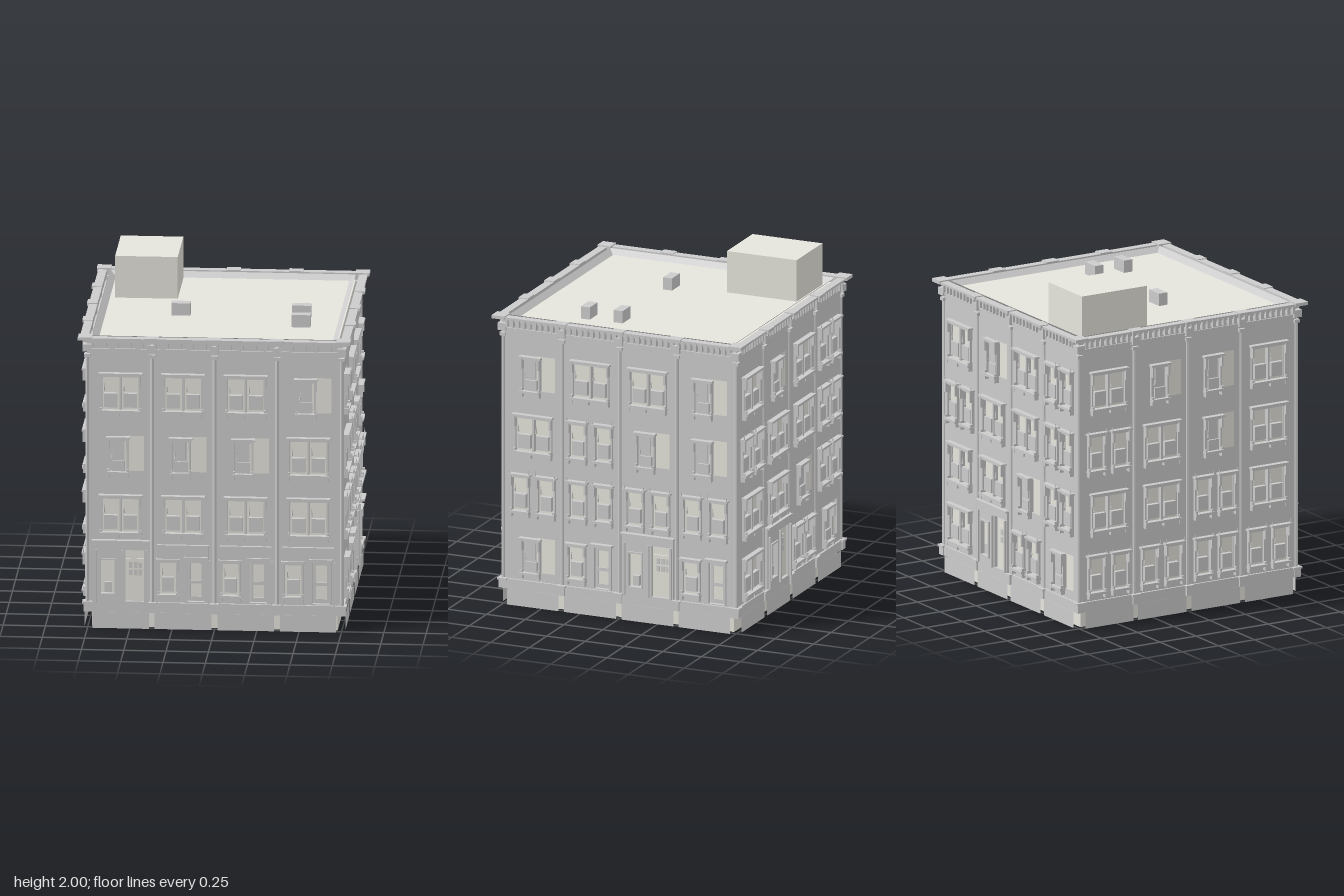
import * as THREE from 'three';

const stone = new THREE.MeshStandardMaterial({ color: 0xcccccc, flatShading: true, side: THREE.DoubleSide });
const pale = new THREE.MeshStandardMaterial({ color: 0xe6e4dc, flatShading: true, side: THREE.DoubleSide });

const WALL = 0.755;                        // distance of wall planes from the centre
const COLS = [-0.555, -0.185, 0.185, 0.555]; // bay centres
const ROWS = [1.335, 0.96, 0.59, 0.215];     // opening bottoms, top storey first
const PIERS = [-0.37, 0, 0.37];

function add(parent, name, geometry, material = stone) {
  const mesh = new THREE.Mesh(geometry, material);
  mesh.name = name;
  parent.add(mesh);
  return mesh;
}

// Box given by its limits
function box(parent, name, x0, x1, y0, y1, z0, z1, material) {
  const mesh = add(parent, name, new THREE.BoxGeometry(x1 - x0, y1 - y0, z1 - z0), material);
  mesh.position.set((x0 + x1) / 2, (y0 + y1) / 2, (z0 + z1) / 2);
  return mesh;
}

function rectPath(Type, x0, x1, y0, y1) {
  return new Type([[x0, y0], [x1, y0], [x1, y1], [x0, y1]].map(p => new THREE.Vector2(...p)));
}

// Square ring around the building
function ring(parent, name, inner, outer, y0, y1) {
  const shape = rectPath(THREE.Shape, -outer, outer, -outer, outer);
  shape.holes.push(rectPath(THREE.Path, -inner, inner, -inner, inner));
  const mesh = add(parent, name, new THREE.ExtrudeGeometry(shape, { depth: y1 - y0, bevelEnabled: false }));
  mesh.rotation.x = -Math.PI / 2;
  mesh.position.y = y0;
}

// Flat frame with one or more openings
function frame(parent, name, outer, holes, z0, z1) {
  const shape = rectPath(THREE.Shape, ...outer);
  holes.forEach(h => shape.holes.push(rectPath(THREE.Path, ...h)));
  add(parent, name, new THREE.ExtrudeGeometry(shape, { depth: z1 - z0, bevelEnabled: false })).position.z = z0;
}

// Surround shared by all windows: hood, brackets, jambs, sill
function surround(g, x, y, half, height) {
  const top = y + height;
  box(g, 'windowHood', x - half - 0.015, x + half + 0.015, top, top + 0.012, 0, 0.035);
  box(g, 'windowHoodStep', x - half - 0.005, x + half + 0.005, top - 0.012, top, 0, 0.022);
  for (const s of [-1, 1]) {
    const e = x + s * half;
    box(g, 'hoodBracket', e - 0.006, e + 0.006, top - 0.065, top, 0, 0.03);
    box(g, 'windowJamb', e - 0.005, e + 0.005, y, top, -0.01, 0.015);
    box(g, 'sillBracket', e - 0.006, e + 0.006, y - 0.04, y + 0.015, 0, 0.028);
  }
  box(g, 'windowSill', x - half - 0.008, x + half + 0.008, y - 0.015, y, 0, 0.035);
}

function sash(g, x, y, half) {
  box(g, 'lowerSash', x - half, x + half, y + 0.015, y + 0.1, -0.015, 0.012);
  const spike = add(g, 'sashOrnament', new THREE.ConeGeometry(0.007, 0.05, 4));
  spike.position.set(x - half, y + 0.14, 0.005);
}

function door(g, x0, x1, y0, y1) {
  frame(g, 'doorFrame', [x0 - 0.01, x1 + 0.01, y0, y1 + 0.012], [[x0, x1, y0 + 0.005, y1]], -0.01, 0.012);
  frame(g, 'doorLeaf', [x0, x1, y0 + 0.005, y1],
    [[x0 + 0.018, x1 - 0.018, y0 + 0.03, y0 + 0.11], [x0 + 0.018, x1 - 0.018, y0 + 0.13, y1 - 0.02]], -0.02, -0.012);
  box(g, 'doorPanel', x0, x1, y0 + 0.005, y1, -0.025, -0.021, pale);
}

function panedDoor(g, x0, x1, y0, y1) {
  box(g, 'panedDoor', x0, x1, y0 + 0.005, y1, -0.02, -0.012, pale);
  for (let i = 0; i < 3; i++) for (let j = 0; j < 2; j++) {
    const px = x0 + 0.02 + i * 0.028, py = y1 - 0.1 + j * 0.045;
    box(g, 'doorPane', px, px + 0.02, py, py + 0.035, -0.014, -0.008);
  }
}

// Every bay builds its parts and returns its wall openings
const BAYS = {
  D(g, x, y) { // double window
    surround(g, x, y, 0.115, 0.215);
    box(g, 'mullion', x - 0.006, x + 0.006, y, y + 0.215, -0.02, 0.012);
    for (const s of [-1, 1]) {
      sash(g, x + s * 0.058, y, 0.039);
      box(g, 'sillPanel', x + s * 0.058 - 0.05, x + s * 0.058 + 0.05, y - 0.04, y - 0.017, 0, 0.025);
    }
    return [[x - 0.105, x + 0.105, y, y + 0.215]];
  },
  S(g, x, y) { // single window beside a pale opening
    surround(g, x - 0.015, y, 0.055, 0.2);
    sash(g, x - 0.012, y - 0.035, 0.036);
    box(g, 'upperSash', x - 0.045, x + 0.015, y + 0.08, y + 0.185, 0, 0.008);
    return [[x + 0.022, x + 0.137, y, y + 0.215]];
  },
  P(g, x, y) { // pair of narrow windows
    const holes = [];
    for (const s of [-1, 1]) {
      const c = x + s * 0.083;
      surround(g, c, y, 0.055, 0.215);
      sash(g, c, y, 0.035);
      for (const e of [-1, 1]) {
        const finial = add(g, 'hoodFinial', new THREE.ConeGeometry(0.006, 0.035, 4));
        finial.position.set(c + e * 0.062, y + 0.24, 0.025);
      }
      holes.push([c - 0.048, c + 0.048, y, y + 0.205]);
    }
    return holes;
  },
  W(g, x, y) { // window and door
    surround(g, x - 0.09, y, 0.055, 0.205);
    sash(g, x - 0.09, y, 0.035);
    door(g, x + 0.025, x + 0.125, 0.165, 0.42);
    box(g, 'doorHood', x + 0.005, x + 0.145, 0.433, 0.447, 0, 0.035);
    return [[x - 0.138, x - 0.042, y, y + 0.195], [x + 0.025, x + 0.125, 0.166, 0.42]];
  },
  G(g, x, y) { // shop bay with a blank fascia
    const holes = BAYS.W(g, x, y);
    box(g, 'shopFascia', x - 0.155, x + 0.152, 0.425, 0.515, 0, 0.02);
    for (const e of [-0.155, 0.152]) box(g, 'shopPost', x + e - 0.006, x + e + 0.006, 0.16, 0.425, 0, 0.02);
    return holes;
  },
  F(g, x) { // main entrance front
    const display = [x - 0.115, x - 0.035, 0.215, 0.42], entry = [x + 0.03, x + 0.14, 0.166, 0.48];
    frame(g, 'entranceFront', [x - 0.165, x + 0.168, 0.16, 0.53], [display, entry], 0, 0.018);
    frame(g, 'displayFrame', [x - 0.125, x - 0.025, 0.205, 0.43], [display], 0.01, 0.028);
    box(g, 'displayPanel', x - 0.095, x - 0.055, 0.22, 0.28, -0.015, 0.01);
    panedDoor(g, entry[0], entry[1], 0.166, 0.42);
    box(g, 'entranceHood', x - 0.17, x + 0.173, 0.53, 0.54, 0, 0.032);
    for (const e of [-0.145, 0.01, 0.155]) box(g, 'entrancePost', x + e - 0.006, x + e + 0.006, 0.16, 0.48, 0.015, 0.03);
    return [display, entry];
  },
};

// Pier strip with plinth and capital
function pier(g, x, z) {
  const shaft = add(g, 'pierShaft', new THREE.CylinderGeometry(0.012, 0.012, 1.5, 8));
  shaft.position.set(x, 0.91, z);
  box(g, 'pierPlinth', x - 0.022, x + 0.022, 0.1, 0.15, z - 0.01, z + 0.025);
  box(g, 'pierPlinthCap', x - 0.028, x + 0.028, 0.15, 0.162, z - 0.01, z + 0.03);
  box(g, 'pierCapitalBase', x - 0.02, x + 0.02, 1.655, 1.675, z - 0.005, z + 0.018);
  box(g, 'pierCapital', x - 0.026, x + 0.026, 1.69, 1.735, z - 0.005, z + 0.027);
  box(g, 'corniceBlock', x - 0.042, x + 0.042, 1.765, 1.783, z - 0.01, z + 0.052);
}

// One side of the building, in its own plane with z outward
function facade(name, layout, angle) {
  const side = new THREE.Group(), g = new THREE.Group();
  side.name = name;
  g.name = 'facadeParts';
  g.position.z = WALL;
  side.rotation.y = angle;
  side.add(g);
  const wall = rectPath(THREE.Shape, -WALL, WALL, 0.16, 1.75);
  layout.forEach((row, r) => [...row].forEach((kind, c) => {
    for (const h of BAYS[kind](g, COLS[c], ROWS[r])) wall.holes.push(rectPath(THREE.Path, ...h));
  }));
  add(g, 'wall', new THREE.ShapeGeometry(wall));
  PIERS.forEach(x => pier(g, x, 0));
  // Small brackets under the cornice
  for (let i = 0; i < 40; i++) {
    const x = -0.72 + i * 1.44 / 39;
    box(g, 'corniceBracket', x - 0.007, x + 0.007, 1.715, 1.765, 0, 0.026);
  }
  // Thin skirting panels at ground level
  const ends = [-0.737, ...PIERS, 0.737];
  for (let i = 0; i < 4; i++) {
    const x0 = ends[i] + 0.017, x1 = ends[i + 1] - 0.017;
    const panel = add(g, 'skirtingPanel', new THREE.PlaneGeometry(x1 - x0, 0.1));
    panel.position.set((x0 + x1) / 2, 0.05, 0.015);
  }
  return side;
}

export function createModel() {
  const model = new THREE.Group();
  model.name = 'cornerBuilding';

  // Pale inner block and roof
  box(model, 'innerBlock', -0.725, 0.725, 0, 1.745, -0.725, 0.725, pale);
  const slope = add(model, 'parapetSlope',
    new THREE.CylinderGeometry(0.725 * Math.SQRT2, 0.69 * Math.SQRT2, 0.03, 4, 1, true));
  slope.rotation.y = Math.PI / 4;
  slope.position.y = 1.761;

  // Facades, each read left to right from outside
  model.add(facade('frontFacade', ['DDDS', 'SSSD', 'DDDD', 'FGGG'], 0));
  model.add(facade('rightFacade', ['SDDS', 'DPSS', 'PPPP', 'SWFW'], Math.PI / 2));
  model.add(facade('backFacade', ['DSDP', 'PDDP', 'DDSP', 'DFPS'], Math.PI));
  model.add(facade('leftFacade', ['DSSD', 'PDSD', 'DDPD', 'PPPP'], -Math.PI / 2));

  // Base course and cornice
  ring(model, 'baseCourse', 0.745, 0.768, 0.1, 0.16);
  ring(model, 'corniceMoulding', 0.745, 0.765, 1.695, 1.708);
  ring(model, 'corniceBand', 0.745, 0.768, 1.745, 1.766);
  ring(model, 'corniceTop', 0.745, 0.796, 1.766, 1.778);

  // Corner piers
  for (const sx of [-1, 1]) for (const sz of [-1, 1]) {
    const corner = new THREE.Group();
    corner.name = 'cornerPier';
    corner.position.set(sx * 0.752, 0, sz * 0.752);
    const block = (name, half, y0, y1) => box(corner, name, -half, half, y0, y1, -half, half);
    block('cornerPlinth', 0.022, 0.1, 0.15);
    block('cornerPlinthCap', 0.029, 0.15, 0.162);
    block('cornerCapitalBase', 0.018, 1.655, 1.675);
    block('cornerCapital', 0.026, 1.69, 1.735);
    const cap = block('cornerCap', 0.042, 1.765, 1.785);
    cap.position.x += sx * 0.011;
    cap.position.z += sz * 0.011;
    add(corner, 'cornerShaft', new THREE.CylinderGeometry(0.012, 0.012, 1.5, 8)).position.y = 0.91;
    model.add(corner);
  }

  // Rooftop structures
  box(model, 'roofHouse', -0.66, -0.29, 1.74, 2, -0.675, -0.225, pale);
  for (const [x, z] of [[-0.245, 0.113], [0.468, 0.113], [0.48, 0.32]])
    box(model, 'roofVent', x - 0.056, x + 0.056, 1.74, 1.82, z - 0.029, z + 0.029);

  return model;
}
